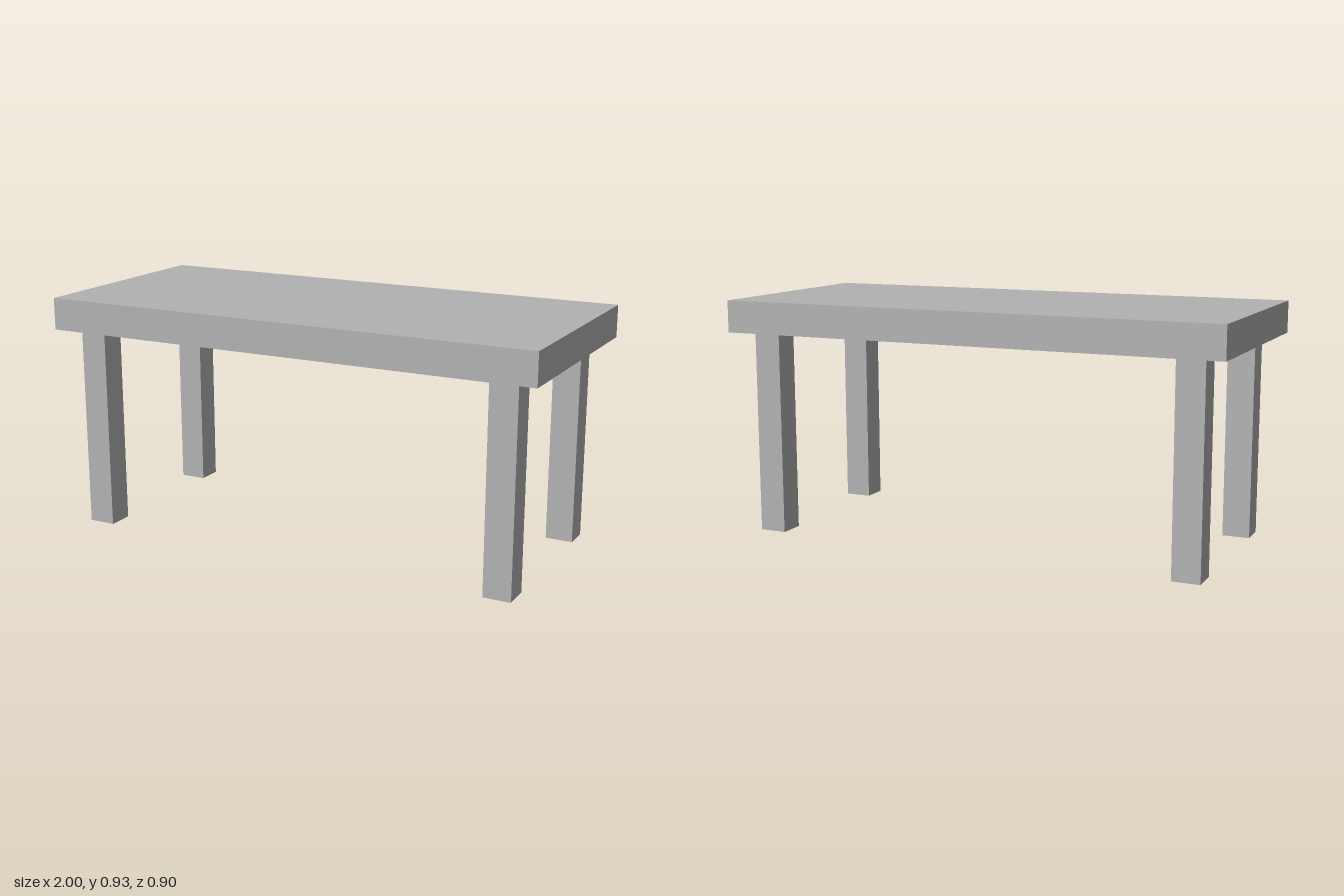
import * as THREE from 'three';

export function createModel() {
  const grey = new THREE.MeshStandardMaterial({ color: 0xb2b2b2 });
  grey.name = 'grey';
  const table = new THREE.Group();
  table.name = 'table';

  const addBox = (name, size, position) => {
    const mesh = new THREE.Mesh(new THREE.BoxGeometry(...size), grey);
    mesh.name = name;
    mesh.position.set(...position);
    table.add(mesh);
  };

  // Thick slab top
  const legHeight = 0.802, topThickness = 0.126;
  addBox('tableTop', [2, topThickness, 0.896], [0, legHeight + topThickness / 2, 0]);

  // Four square legs, inset from the corners
  for (const [side, x] of [['Left', 0.861], ['Right', -0.861]]) {
    for (const [end, z] of [['front', 0.337], ['back', -0.337]]) {
      addBox(`${end}${side}Leg`, [0.108, legHeight, 0.104], [x, legHeight / 2, z]);
    }
  }
  return table;
}
